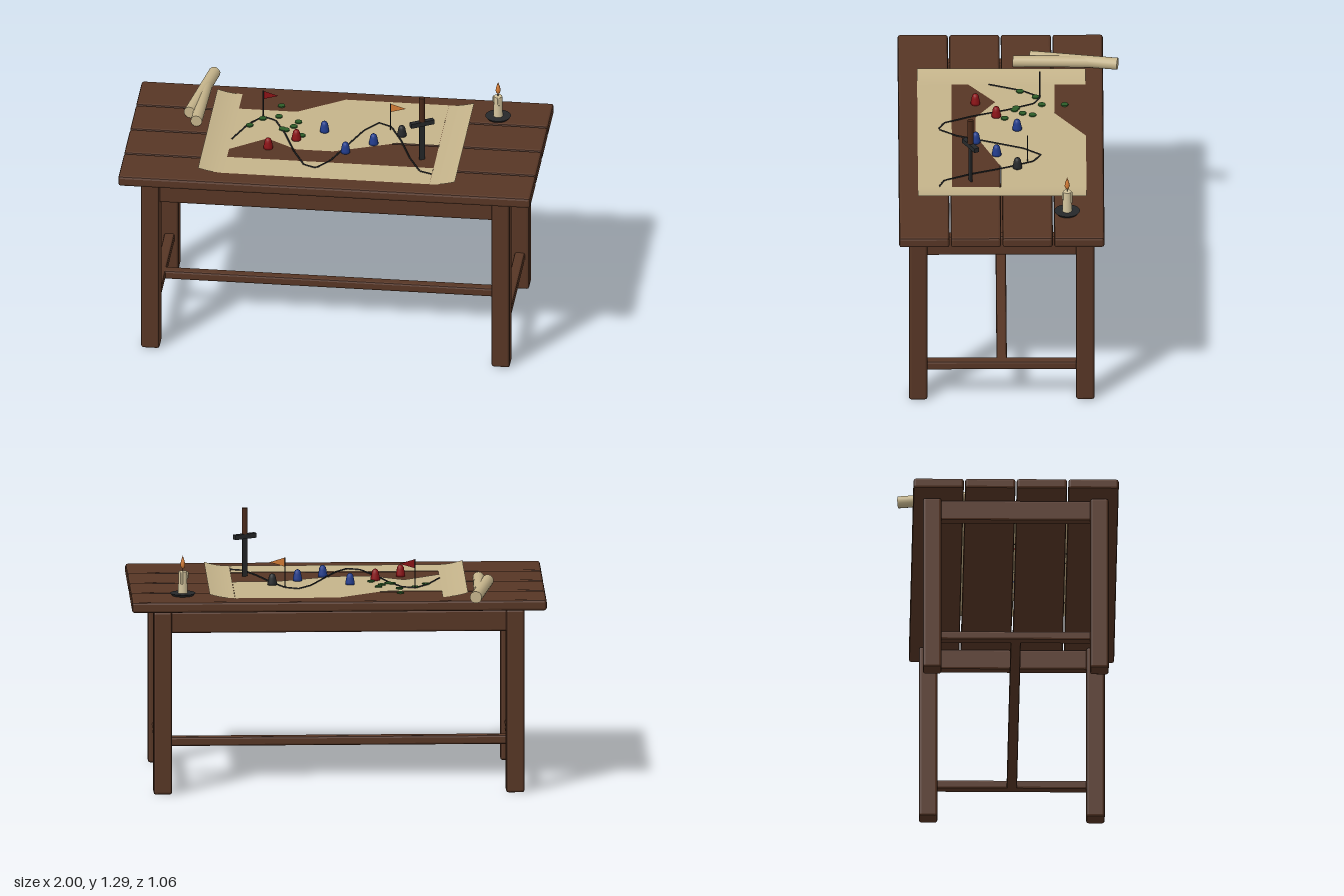
import * as THREE from 'three';
import { RoundedBoxGeometry } from 'three/addons/geometries/RoundedBoxGeometry.js';

const mat = (name, color, extra = {}) => {
  const m = new THREE.MeshStandardMaterial({ color, ...extra });
  m.name = name;
  return m;
};

export function createModel() {
  const root = new THREE.Group();
  root.name = 'mapTable';

  const wood = mat('wood', 0x573625, { flatShading: true });
  const parchment = mat('parchment', 0xc4b38a, { side: THREE.DoubleSide });
  const wax = mat('wax', 0xd2c39c);
  const iron = mat('iron', 0x26282a);
  const red = mat('red', 0x8b1216, { side: THREE.DoubleSide });
  const blue = mat('blue', 0x213c8c);
  const green = mat('green', 0x2c5c28);
  const orange = mat('orange', 0xd47c36, { side: THREE.DoubleSide });
  const leather = mat('leather', 0x4a2a1a);

  const add = (name, geo, material, x = 0, y = 0, z = 0, parent = root) => {
    const m = new THREE.Mesh(geo, material);
    m.name = name;
    m.position.set(x, y, z);
    parent.add(m);
    return m;
  };
  const beam = (name, w, h, d, x, y, z, bevel = 0.01) =>
    add(name, new RoundedBoxGeometry(w, h, d, 1, bevel), wood, x, y, z);

  const TOP = 0.955;   // tabletop height
  const ZC = 0.038;    // table centre in z

  // Tabletop planks
  for (let i = 0; i < 4; i++)
    beam('plank', 2, 0.053, 0.243, 0, TOP - 0.0265, ZC + (i - 1.5) * 0.249, 0.012);

  // Legs, aprons and stretchers
  for (const s of [-1, 1]) {
    for (const t of [-1, 1]) beam('leg', 0.09, 0.9, 0.09, s * 0.85, 0.45, ZC + t * 0.403, 0.012);
    beam('longApron', 1.64, 0.105, 0.05, 0, 0.8425, ZC + s * 0.403);
    beam('sideApron', 0.05, 0.105, 0.74, s * 0.85, 0.8425, ZC);
    beam('sideStretcher', 0.05, 0.045, 0.74, s * 0.85, 0.178, ZC);
  }
  beam('longStretcher', 1.7, 0.045, 0.05, 0, 0.178, ZC);

  // Parchment map: torn flat pieces and two curled side flaps
  const map = new THREE.Group();
  map.name = 'map';
  root.add(map);
  const sheet = (name, pts) => {
    const g = new THREE.ShapeGeometry(new THREE.Shape(pts.map(([x, z]) => new THREE.Vector2(x, -z))));
    g.rotateX(-Math.PI / 2);
    add(name, g, parchment, 0, TOP + 0.002, 0, map);
  };
  sheet('mapCentre', [[-0.51, -0.222], [-0.22, -0.222], [0, -0.372], [0.5, -0.372], [0.5, 0.04],
    [0.3, 0.04], [0, 0.16], [-0.18, 0.16], [-0.33, 0.065], [-0.51, 0.2]]);
  sheet('mapFront', [[-0.51, 0.275], [0.5, 0.275], [0.5, 0.44], [-0.51, 0.44]]);
  for (const s of [-1, 1]) {
    const g = new THREE.PlaneGeometry(0.122, 0.812, 6, 1).rotateX(-Math.PI / 2);
    const p = g.attributes.position;
    for (let i = 0; i < p.count; i++) {
      const t = (s * p.getX(i) + 0.061) / 0.122;
      p.setY(i, 0.02 * t * t);
    }
    g.computeVertexNormals();
    add('mapCurl', g, parchment, s * 0.562, TOP + 0.002, 0.034, map);
  }

  // Route drawn across the map as a straight-segment wave
  const route = new THREE.CurvePath();
  const routePoint = i => new THREE.Vector3(-0.5 + i / 16, TOP + 0.004, 0.094 - 0.25 * Math.sin(0.7 * i));
  for (let i = 0; i < 16; i++) route.add(new THREE.LineCurve3(routePoint(i), routePoint(i + 1)));
  add('route', new THREE.TubeGeometry(route, 128, 0.004, 5), iron);

  // Forest markers
  const dot = new THREE.CylinderGeometry(0.018, 0.018, 0.006, 10);
  for (const [x, z] of [[-0.3, -0.27], [-0.375, -0.13], [-0.3, -0.16], [-0.43, -0.055], [-0.2, -0.115],
    [-0.217, -0.067], [-0.268, -0.036], [-0.25, -0.028], [-0.168, 0.02]])
    add('forestMarker', dot, green, x, TOP + 0.005, z);

  // Playing pieces: tapered base with a domed head
  const piece = new THREE.LatheGeometry([[0, 0], [0.023, 0], [0.0225, 0.012], [0.018, 0.034], [0.0165, 0.043],
    [0.012, 0.051], [0.006, 0.0555], [0, 0.0565]].map(([r, y]) => new THREE.Vector2(r, y)), 14);
  [red, red, blue, blue, blue, iron].forEach((m, i) =>
    add('piece', piece, m, -0.315 + i * 0.125, TOP + 0.001, [0.16, 0.06, -0.04][i % 3]));

  // Flags on thin poles
  const pennant = new THREE.ShapeGeometry(new THREE.Shape([
    new THREE.Vector2(0, 0), new THREE.Vector2(0.075, 0.022), new THREE.Vector2(0, 0.045)]));
  for (const [x, z, m] of [[-0.375, -0.15, red], [0.25, -0.089, orange]]) {
    add('flagPole', new THREE.CylinderGeometry(0.003, 0.003, 0.145, 6), iron, x, TOP + 0.0725, z);
    add('flag', pennant, m, x, 1.055, z);
  }

  // Dagger stuck upright in the table
  const dagger = new THREE.Group();
  dagger.name = 'dagger';
  dagger.position.set(0.435, 0, 0.187);
  dagger.rotation.y = Math.PI / 6;
  root.add(dagger);
  add('blade', new THREE.BoxGeometry(0.028, 0.2, 0.008), iron, 0, 1.045, 0, dagger);
  add('guard', new THREE.BoxGeometry(0.12, 0.023, 0.025), iron, 0, 1.152, 0, dagger);
  add('grip', new THREE.CylinderGeometry(0.014, 0.014, 0.127, 10), leather, 0, 1.227, 0, dagger);

  // Candle on a dish
  const candle = new THREE.Group();
  candle.name = 'candle';
  candle.position.set(0.75, TOP, -0.278);
  root.add(candle);
  add('dish', new THREE.CylinderGeometry(0.062, 0.052, 0.012, 20), iron, 0, 0.006, 0, candle);
  add('candleStick', new THREE.CylinderGeometry(0.02, 0.023, 0.108, 16), wax, 0, 0.064, 0, candle);
  for (const [a, len] of [[0.3, 0.03], [2.9, 0.05], [4.6, 0.025]])
    add('waxDrip', new THREE.CapsuleGeometry(0.006, len, 3, 8), wax,
      0.021 * Math.sin(a), 0.112 - len / 2, 0.021 * Math.cos(a), candle);
  add('wick', new THREE.CylinderGeometry(0.002, 0.002, 0.022, 6), iron, 0, 0.126, 0, candle);
  add('flame', new THREE.LatheGeometry([[0, 0], [0.008, 0.007], [0.0125, 0.02], [0.009, 0.04], [0, 0.066]]
    .map(([r, y]) => new THREE.Vector2(r, y)), 10), orange, 0, 0.129, 0, candle);

  // Rolled scrolls
  const scroll = (x1, z1, x2, z2, r) => {
    const dir = new THREE.Vector3(x2 - x1, 0, z2 - z1);
    const m = add('scroll', new THREE.CylinderGeometry(r, r, dir.length(), 16), parchment,
      (x1 + x2) / 2, TOP + r, (z1 + z2) / 2);
    m.quaternion.setFromUnitVectors(new THREE.Vector3(0, 1, 0), dir.normalize());
  };
  scroll(-0.655, -0.527, -0.727, -0.105, 0.029);
  scroll(-0.685, -0.022, -0.677, -0.4, 0.028);

  return root;
}
